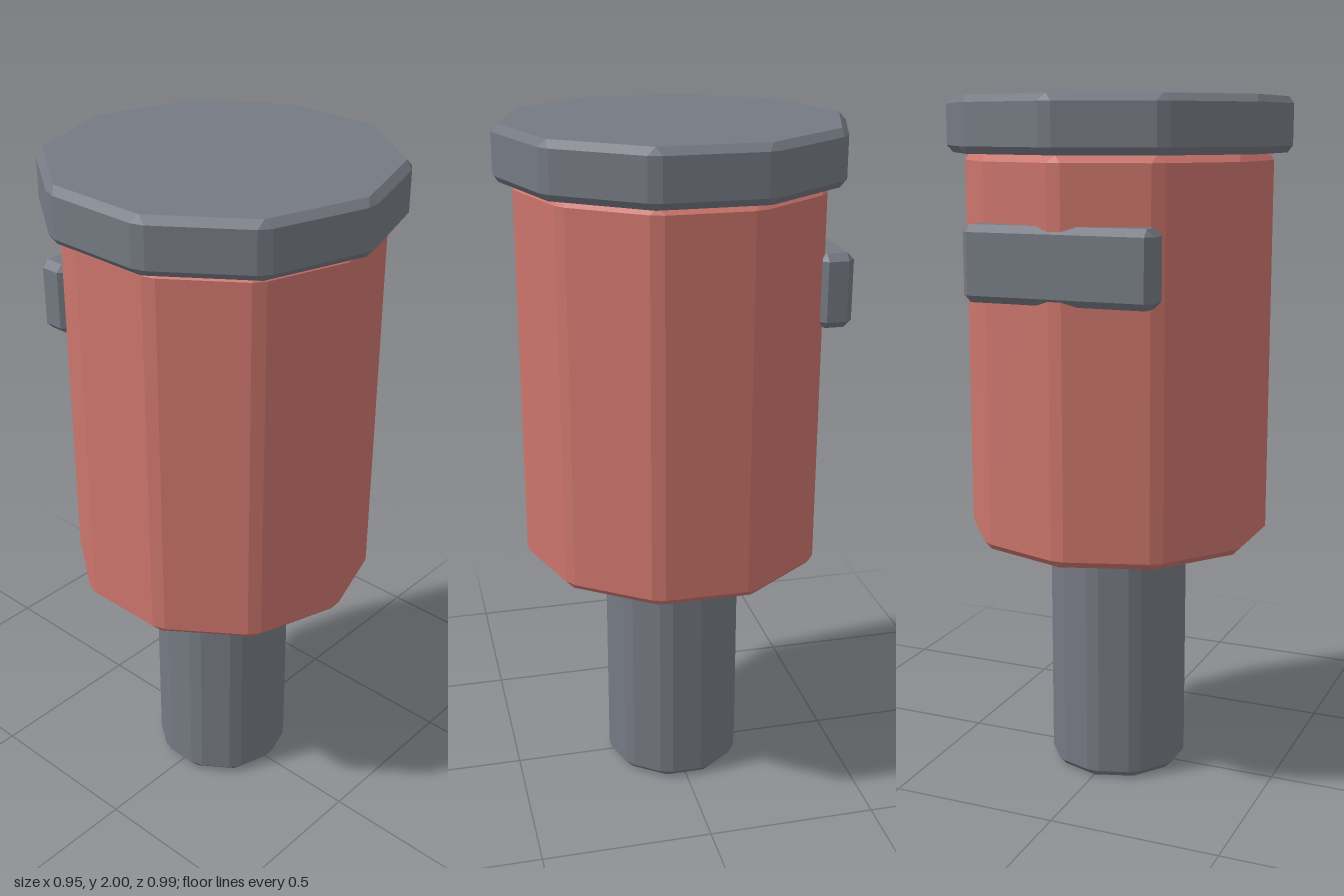
import * as THREE from 'three';
import { ConvexGeometry } from 'three/addons/geometries/ConvexGeometry.js';

const SIDES = 10;
const BEVEL = 0.02;

const steel = new THREE.MeshStandardMaterial({ color: 0x757982, flatShading: true });
const red = new THREE.MeshStandardMaterial({ color: 0xcb756c, flatShading: true });

function makeMesh(name, points, material) {
  const mesh = new THREE.Mesh(new ConvexGeometry(points), material);
  mesh.name = name;
  return mesh;
}

// Ten-sided prism with every edge chamfered; one corner points to the front
function chamferedPrism(name, radius, y0, y1, material) {
  const corner = (i, r) => {
    const a = (i / SIDES) * Math.PI * 2;
    return new THREE.Vector3(Math.sin(a) * r, 0, Math.cos(a) * r);
  };
  const points = [];
  for (let i = 0; i < SIDES; i++) {
    const c = corner(i, radius);
    // cut each upright edge back along both neighbouring sides
    for (const step of [-1, 1]) {
      const dir = corner(i + step, radius).sub(c).normalize();
      const p = c.clone().addScaledVector(dir, BEVEL);
      points.push(p.clone().setY(y0 + BEVEL), p.clone().setY(y1 - BEVEL));
    }
    // inset end caps
    const cap = corner(i, radius - BEVEL);
    points.push(cap.clone().setY(y0), cap.clone().setY(y1));
  }
  return makeMesh(name, points, material);
}

// Box with every edge and corner chamfered
function chamferedBox(name, w, h, d, material) {
  const half = [w / 2, h / 2, d / 2];
  const points = [];
  for (const sx of [-1, 1]) for (const sy of [-1, 1]) for (const sz of [-1, 1]) {
    for (let axis = 0; axis < 3; axis++) {
      const [x, y, z] = half.map((v, i) => (i === axis ? v : v - BEVEL));
      points.push(new THREE.Vector3(sx * x, sy * y, sz * z));
    }
  }
  return makeMesh(name, points, material);
}

export function createModel() {
  const model = new THREE.Group();
  model.name = 'canister';

  model.add(chamferedPrism('stem', 0.21, 0, 0.73, steel));
  model.add(chamferedPrism('body', 0.448, 0.73, 1.845, red));
  model.add(chamferedPrism('lid', 0.5, 1.845, 2, steel));

  // Bar set into the back of the body
  const bar = chamferedBox('backBar', 0.552, 0.21, 0.097, steel);
  bar.position.set(0, 1.557, -0.4);
  model.add(bar);

  return model;
}
